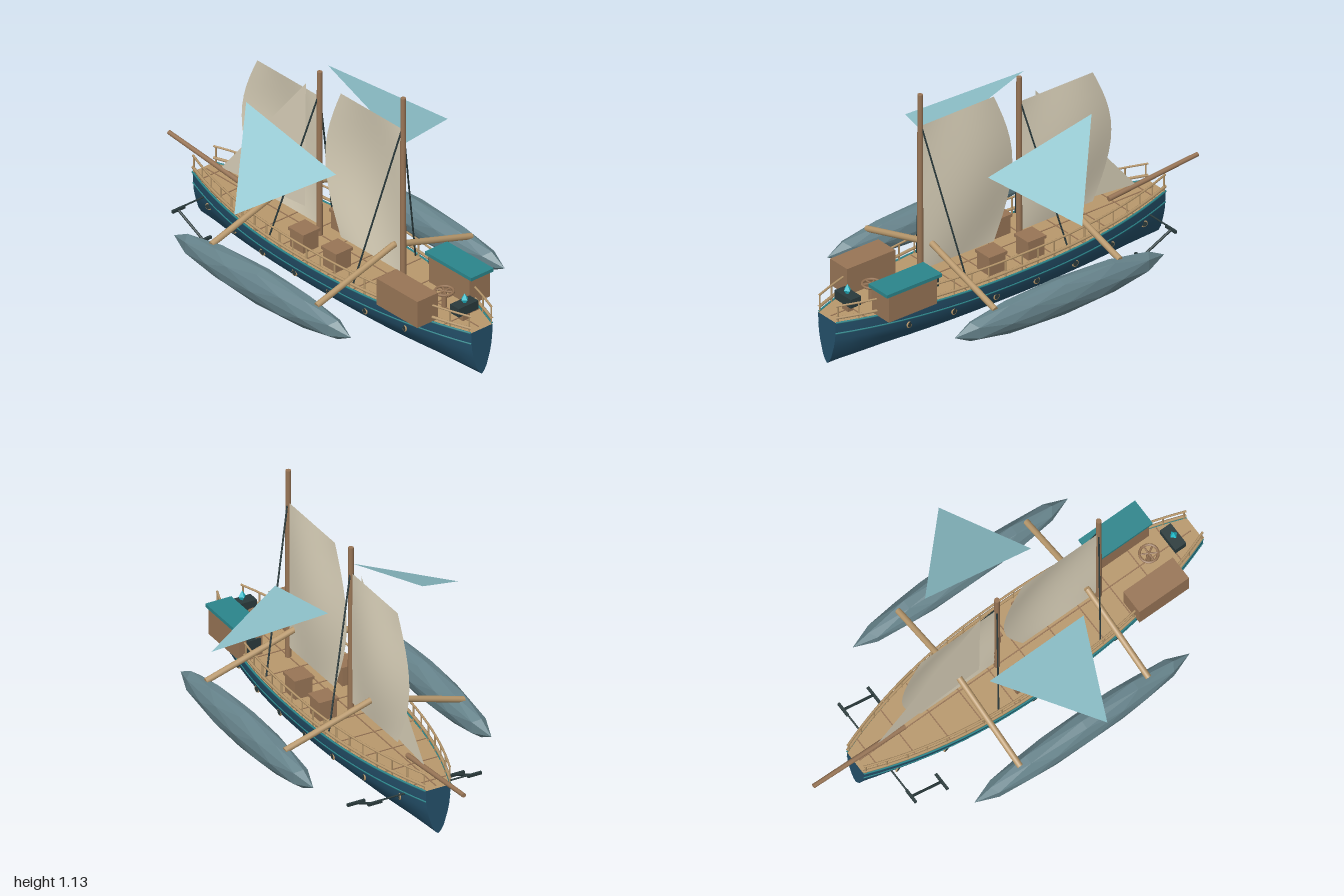
import * as THREE from 'three';

const mat = (name, color, side = THREE.FrontSide, flatShading = false) =>
  Object.assign(new THREE.MeshStandardMaterial({ color, side, flatShading }), { name });

const V = (x, y, z) => new THREE.Vector3(x, y, z);
const Z0 = -0.78, Z1 = 1.0;

// half-width of the hull at deck level
const halfWidth = z => 0.06 + 0.15 * (1 - Math.pow(Math.abs((z - 0.11) / 0.89), 2.3));
// hull cross-section: fraction of half-width, height
const SECTION = [[1, 0.222], [0.975, 0.18], [0.91, 0.135], [0.78, 0.098], [0.47, 0.038], [0.22, 0.012], [0, 0]];
const ring = [...SECTION, ...SECTION.slice(0, -1).reverse().map(([x, y]) => [-x, y])];
const stations = Array.from({ length: 25 }, (_, i) => Z0 + (Z1 - Z0) * i / 24);

// width fraction of the section at a given height
function widthAt(y) {
  for (let i = 0; i < SECTION.length - 1; i++) {
    const [x0, y0] = SECTION[i], [x1, y1] = SECTION[i + 1];
    if (y <= y0 && y >= y1) return x1 + (x0 - x1) * (y - y1) / (y0 - y1);
  }
  return 1;
}

function hullGeometry() {
  const pos = [], idx = [], n = ring.length;
  for (const z of stations) for (const [f, y] of ring) pos.push(f * halfWidth(z), y, z);
  for (let i = 0; i < stations.length - 1; i++) for (let j = 0; j < n - 1; j++) {
    const a = i * n + j, b = a + n;
    idx.push(a, b, a + 1, b, b + 1, a + 1);
  }
  const g = new THREE.BufferGeometry();
  g.setAttribute('position', new THREE.Float32BufferAttribute(pos, 3));
  g.setIndex(idx);
  g.computeVertexNormals();
  return g;
}

// billowed sail between a mast and its curved free edge
function sailGeometry(z0, bottom, top) {
  const g = new THREE.PlaneGeometry(1, 1, 10, 12), p = g.attributes.position;
  for (let i = 0; i < p.count; i++) {
    const u = p.getX(i) + 0.5, v = p.getY(i) + 0.5, s = Math.sin(Math.PI * v);
    p.setXYZ(i, 0.036 * Math.sin(Math.PI * u) * s, bottom + v * (top - bottom), z0 - u * (0.39 + 0.1 * s));
  }
  g.computeVertexNormals();
  return g;
}

function triangle(a, b, c) {
  const g = new THREE.BufferGeometry().setFromPoints([a, b, c]);
  g.computeVertexNormals();
  return g;
}

export function createModel() {
  const M = {
    hull: mat('hull blue', 0x24506a),
    trim: mat('teal trim', 0x2b858b),
    deck: mat('pale timber', 0xb8986c),
    wood: mat('brown timber', 0x987556),
    iron: mat('dark iron', 0x2a3a3c),
    float: mat('float grey', 0x66838b, THREE.FrontSide, true),
    sail: mat('canvas', 0xd8cfb8, THREE.DoubleSide),
    wing: mat('pale teal cloth', 0x8fc3cc, THREE.DoubleSide),
    crystal: mat('cyan crystal', 0x22bccb, THREE.FrontSide, true),
  };
  const root = new THREE.Group();
  root.name = 'sailingOutrigger';

  const add = (name, geo, m, x = 0, y = 0, z = 0) => {
    const mesh = new THREE.Mesh(geo, m);
    mesh.name = name;
    mesh.position.set(x, y, z);
    root.add(mesh);
    return mesh;
  };
  const box = (name, m, w, h, d, x, y, z) => add(name, new THREE.BoxGeometry(w, h, d), m, x, y, z);
  const rod = (name, m, a, b, r, r2 = r, sides = 10) => {
    const d = b.clone().sub(a);
    const mesh = add(name, new THREE.CylinderGeometry(r2, r, d.length(), sides), m);
    mesh.position.copy(a).addScaledVector(d, 0.5);
    mesh.quaternion.setFromUnitVectors(V(0, 1, 0), d.normalize());
    return mesh;
  };
  // tube following the hull side
  const strake = (name, m, side, y, scale, r) => {
    const curve = new THREE.CatmullRomCurve3(stations.map(z => V(side * scale * halfWidth(z), y, z)));
    add(name, new THREE.TubeGeometry(curve, 48, r, 6), m);
  };

  // hull with both end faces and deck
  add('hull', hullGeometry(), M.hull);
  for (const [z, turn] of [[Z1, 0], [Z0, Math.PI]]) {
    const shape = new THREE.Shape(ring.map(([f, y]) => new THREE.Vector2(f * halfWidth(z), y)));
    add('hullEnd', new THREE.ShapeGeometry(shape), M.hull, 0, 0, z).rotation.y = turn;
  }
  const outline = [...stations.map(z => new THREE.Vector2(halfWidth(z), -z)),
    ...[...stations].reverse().map(z => new THREE.Vector2(-halfWidth(z), -z))];
  add('deck', new THREE.ShapeGeometry(new THREE.Shape(outline)), M.deck, 0, 0.222, 0).rotation.x = -Math.PI / 2;
  for (let z = -0.71; z < 0.98; z += 0.158)
    box('deckSeam', M.wood, 1.9 * halfWidth(z), 0.003, 0.005, 0, 0.223, z);
  box('deckCentreSeam', M.wood, 0.005, 0.003, 1.74, 0, 0.223, 0.11);

  for (const s of [1, -1]) {
    // trim and rails
    strake('rimTrim', M.trim, s, 0.222, 1, 0.005);
    strake('sideStripe', M.trim, s, 0.168, widthAt(0.168), 0.004);
    strake('lowerRail', M.deck, s, 0.245, 0.98, 0.007);
    strake('upperRail', M.deck, s, 0.302, 0.97, 0.005);
    for (let i = 0; i <= 20; i++) {
      const z = Z0 + 0.01 + i * 0.088, x = s * 0.97 * halfWidth(z);
      rod('railPost', M.deck, V(x, 0.22, z), V(x, 0.302, z), 0.004, 0.004, 6);
    }

    // portholes
    for (let i = 0; i < 7; i++) {
      const z = 0.67 - i * 0.2167, x = s * widthAt(0.135) * halfWidth(z);
      const slope = Math.atan((halfWidth(z + 0.01) - halfWidth(z - 0.01)) / 0.02);
      const turn = s * (Math.PI / 2 - slope);
      add('portholeRing', new THREE.TorusGeometry(0.013, 0.004, 6, 14), M.deck, x, 0.135, z).rotation.y = turn;
      add('portholeGlass', new THREE.CircleGeometry(0.012, 14), M.iron, x + s * 0.004, 0.135, z).rotation.y = turn;
    }

    // outrigger float and its beams
    add('float', new THREE.IcosahedronGeometry(1, 1), M.float, s * 0.433, 0.193, 0.09).scale.set(0.068, 0.085, 0.565);
    for (const z of [0.438, -0.235])
      rod('outriggerBeam', M.deck, V(s * 0.435, 0.255, z), V(0, 0.385, z), 0.014);

    // side wing
    add('wing', triangle(V(s * 0.23, 0.87, -0.245), V(s * 0.6, 0.615, 0.1), V(s * 0.187, 0.73, 0.28)), M.wing);

    // anchors
    rod('anchorShank', M.iron, V(s * 0.242, 0.08, -0.505), V(s * 0.242, 0.157, -0.665), 0.006);
    box('anchorFluke', M.iron, 0.085, 0.012, 0.012, s * 0.242, 0.08, -0.505);
    box('anchorStock', M.iron, 0.068, 0.012, 0.012, s * 0.242, 0.16, -0.665);
    rod('anchorMount', M.iron, V(s * 0.09, 0.165, -0.665), V(s * 0.21, 0.165, -0.665), 0.004);

    // deck hatches
    for (const z of [-0.005, 0.205]) {
      box('hatch', M.wood, 0.085, 0.08, 0.085, s * 0.115, 0.262, z);
      box('hatchLid', M.wood, 0.096, 0.014, 0.098, s * 0.115, 0.309, z);
    }
  }

  // masts, stays and sails
  for (const [z, top, head] of [[0.497, 1.13, 0.975], [-0.037, 1.022, 0.9]]) {
    rod('mast', M.wood, V(0, 0.22, z), V(0, top, z), 0.014, 0.012, 12);
    add('sail', sailGeometry(z - 0.008, 0.27, head), M.sail);
    for (const s of [1, -1])
      rod('stay', M.iron, V(0, head + 0.02, z), V(s * 0.175, 0.235, z - 0.12), 0.004, 0.004, 6);
  }
  add('jib', triangle(V(0, 0.925, -0.125), V(0, 0.27, -0.665), V(0, 0.32, -0.13)), M.sail);
  rod('bowsprit', M.wood, V(0, 0.25, -0.52), V(0, 0.295, -1), 0.012, 0.01);

  // cabins
  box('openCabin', M.wood, 0.115, 0.128, 0.26, -0.147, 0.288, 0.69);
  box('roofedCabin', M.wood, 0.115, 0.128, 0.26, 0.143, 0.288, 0.695);
  box('cabinRoof', M.trim, 0.126, 0.016, 0.296, 0.144, 0.358, 0.692);
  box('cabinDoor', M.iron, 0.04, 0.08, 0.008, 0.143, 0.275, 0.562);
  box('doorLamp', M.iron, 0.06, 0.04, 0.008, 0.143, 0.305, 0.536);

  // steering wheel
  rod('wheelPost', M.wood, V(0, 0.22, 0.76), V(0, 0.3, 0.76), 0.012);
  add('wheelRim', new THREE.TorusGeometry(0.04, 0.006, 6, 20), M.wood, 0, 0.3, 0.76).rotation.x = Math.PI / 2;
  for (let i = 0; i < 3; i++) {
    const a = i * Math.PI / 3, x = 0.045 * Math.cos(a), z = 0.045 * Math.sin(a);
    rod('wheelSpoke', M.wood, V(-x, 0.3, 0.76 - z), V(x, 0.3, 0.76 + z), 0.004, 0.004, 6);
  }

  // console with crystal
  box('consoleStand', M.wood, 0.04, 0.04, 0.03, 0, 0.24, 0.887);
  box('console', M.iron, 0.11, 0.042, 0.056, 0, 0.28, 0.887);
  add('crystal', new THREE.OctahedronGeometry(1, 0), M.crystal, 0, 0.318, 0.89).scale.set(0.018, 0.028, 0.018);

  return root;
}
